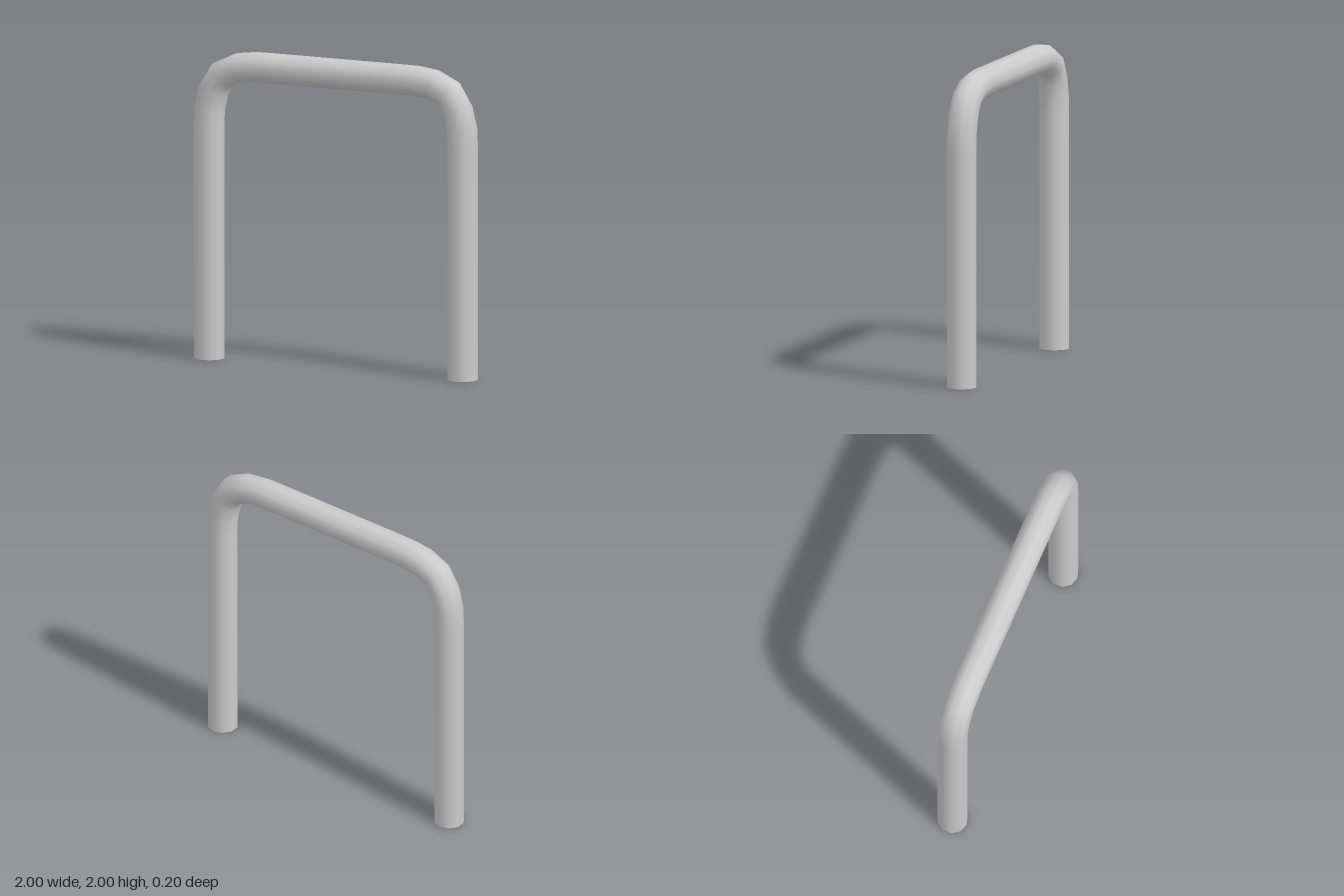
import * as THREE from 'three';

const RADIUS = 0.098;
const SIDES = 10;

// Half of the centre line, foot to beam: x, y, travel direction in degrees
const HALF = [
  [-0.907, 0, 90],
  [-0.907, 1.5, 90],
  [-0.902, 1.62, 85],
  [-0.872, 1.738, 72],
  [-0.81, 1.84, 40],
  [-0.7, 1.89, 13],
  [-0.58, 1.906, 4],
  [-0.46, 1.907, 0],
];

// Bends a capped cylinder so each of its rings sits square on a station
function bentTube(stations) {
  const spans = stations.length - 1;
  const geo = new THREE.CylinderGeometry(RADIUS, RADIUS, 1, SIDES, spans);
  const pos = geo.attributes.position;
  const nor = geo.attributes.normal;
  for (let i = 0; i < pos.count; i++) {
    const [cx, cy, deg] = stations[Math.round((0.5 - pos.getY(i)) * spans)];
    const a = THREE.MathUtils.degToRad(deg);
    const tx = -Math.cos(a), ty = -Math.sin(a);
    const r = pos.getX(i);
    pos.setXY(i, cx + r * ty, cy - r * tx);
    const nx = nor.getX(i), ny = nor.getY(i);
    nor.setXY(i, nx * ty + ny * tx, -nx * tx + ny * ty);
  }
  return geo;
}

export function createModel() {
  const group = new THREE.Group();
  group.name = 'hoopRail';
  const mirrored = HALF.map(([x, y, a]) => [-x, y, -a]).reverse();
  const rail = new THREE.Mesh(
    bentTube([...HALF, ...mirrored]),
    new THREE.MeshStandardMaterial({ color: 0xcccccc })
  );
  rail.name = 'bentTube';
  group.add(rail);
  return group;
}
